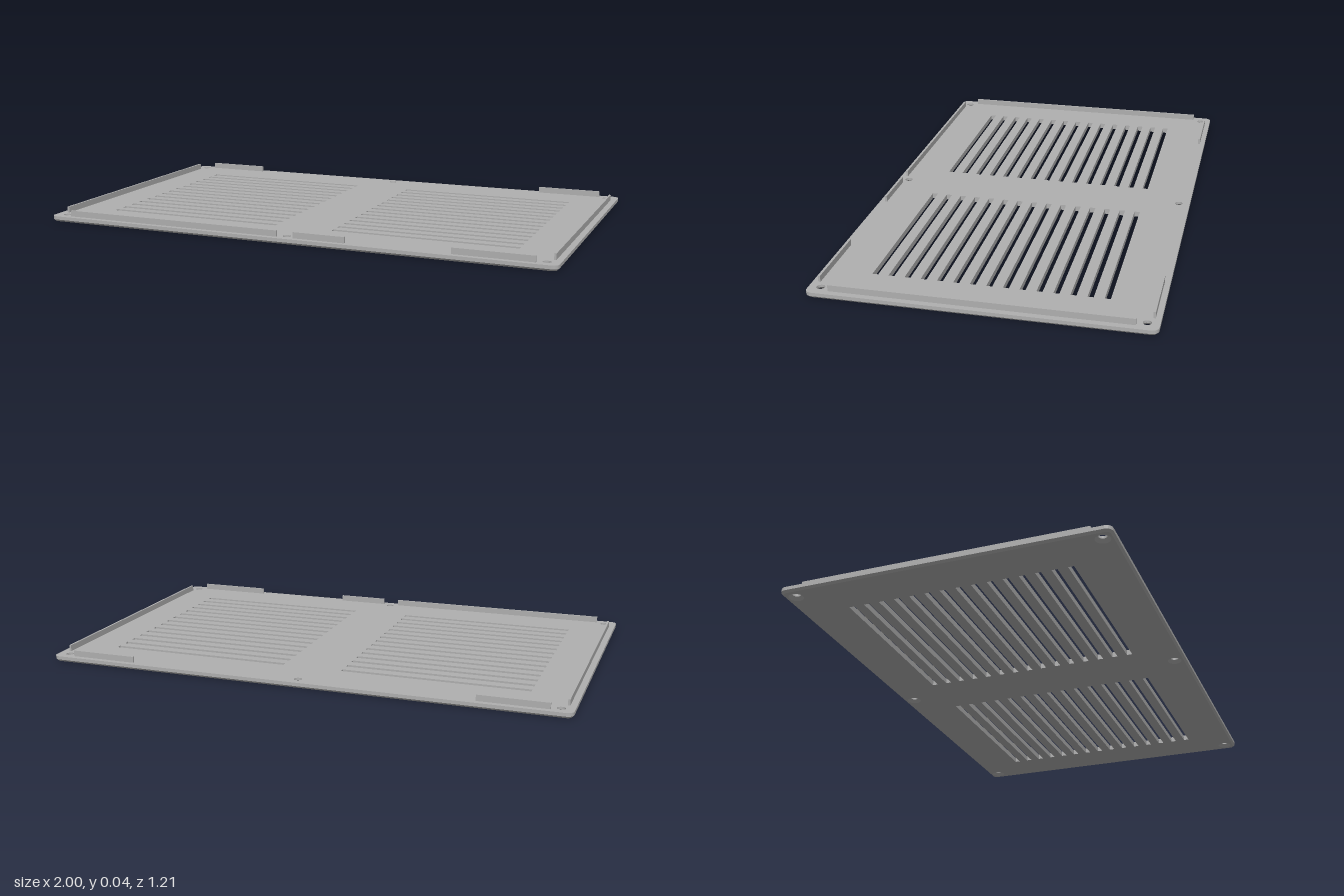
import * as THREE from 'three';

const W = 1, D = 0.605, TOP = 0.021, CHAMFER = 0.008, RIB_TOP = 0.044;
const UP = Math.PI / 2;

// Loop of points (x, z) around a rectangle, with optional rounded corners
function rectLoop(cx, cz, hw, hd, r = 0, seg = 6) {
  const pts = [];
  const signs = [[1, 1], [-1, 1], [-1, -1], [1, -1]];
  signs.forEach(([sx, sz], q) => {
    if (r === 0) { pts.push(new THREE.Vector2(cx + sx * hw, cz + sz * hd)); return; }
    for (let i = 0; i <= seg; i++) {
      const a = (q + i / seg) * UP;
      pts.push(new THREE.Vector2(
        cx + sx * (hw - r) + r * Math.cos(a), cz + sz * (hd - r) + r * Math.sin(a)));
    }
  });
  return pts;
}

function circleLoop(cx, cz, r, n = 24) {
  return Array.from({ length: n }, (_, i) => {
    const a = (i / n) * Math.PI * 2;
    return new THREE.Vector2(cx + r * Math.cos(a), cz + r * Math.sin(a));
  });
}

// Strip of faces between a lower and an upper loop; inward for holes
function wall(low, yLow, high, yHigh, inward = false) {
  const pos = [];
  for (let i = 0; i < low.length; i++) {
    const j = (i + 1) % low.length;
    const a0 = [low[i].x, yLow, low[i].y], b0 = [low[j].x, yLow, low[j].y];
    const a1 = [high[i].x, yHigh, high[i].y], b1 = [high[j].x, yHigh, high[j].y];
    if (inward) pos.push(...a0, ...b1, ...a1, ...a0, ...b0, ...b1);
    else pos.push(...a0, ...a1, ...b1, ...a0, ...b1, ...b0);
  }
  const g = new THREE.BufferGeometry();
  g.setAttribute('position', new THREE.Float32BufferAttribute(pos, 3));
  g.computeVertexNormals();
  return g;
}

// Flat face with holes, facing up or down
function face(outline, holes, y, up) {
  const s = new THREE.Shape(outline);
  holes.forEach(h => s.holes.push(new THREE.Path(h)));
  return new THREE.ShapeGeometry(s).rotateX(up ? -UP : UP).translate(0, y, 0);
}

export function createModel() {
  const model = new THREE.Group();
  model.name = 'ventCover';
  const grey = new THREE.MeshStandardMaterial({ color: 0xb0b0b0 });
  grey.name = 'grey';
  const add = (parent, name, geometry) => {
    const m = new THREE.Mesh(geometry, grey);
    m.name = name;
    parent.add(m);
    return m;
  };

  // Two banks of fifteen slots
  const slots = [];
  for (const side of [-1, 1])
    for (let i = 0; i < 15; i++)
      slots.push(rectLoop(side * 0.47, (i - 7) * 0.0588, 0.355, 0.0105));

  // Six screw holes, countersunk from below
  const screws = [];
  for (const x of [-0.953, 0, 0.953])
    for (const z of [-0.562, 0.562]) screws.push([x, z]);
  const bores = screws.map(([x, z]) => circleLoop(x, z, 0.015));
  const sinks = screws.map(([x, z]) => circleLoop(x, z, 0.027));

  // Plate with a chamfered lower edge
  const plate = new THREE.Group();
  plate.name = 'plate';
  model.add(plate);
  const outer = rectLoop(0, 0, W, D, 0.025);
  const lower = rectLoop(0, 0, W - CHAMFER, D - CHAMFER, 0.025 - CHAMFER);
  add(plate, 'plateTop', face(outer, [...slots, ...bores], TOP, true));
  add(plate, 'plateBottom', face(lower, [...slots, ...sinks], 0, false));
  add(plate, 'plateEdge', wall(outer, CHAMFER, outer, TOP));
  add(plate, 'plateChamfer', wall(lower, 0, outer, CHAMFER));
  slots.forEach(s => add(plate, 'slotWall', wall(s, 0, s, TOP, true)));
  bores.forEach((b, i) => {
    add(plate, 'screwBore', wall(b, 0.012, b, TOP, true));
    add(plate, 'countersink', wall(sinks[i], 0, b, 0.012, true));
  });

  // Upright locating ribs around the border
  const rib = (name, x0, x1, z0, z1) =>
    add(model, name, new THREE.BoxGeometry(x1 - x0, RIB_TOP - TOP, z1 - z0)
      .translate((x0 + x1) / 2, (RIB_TOP + TOP) / 2, (z0 + z1) / 2));
  for (const [x0, x1] of [[-0.92, -0.033], [0.033, 0.233], [0.627, 0.92]])
    rib('frontRib', x0, x1, 0.577, 0.585);
  for (const [x0, x1] of [[-0.92, -0.663], [0.663, 0.92]])
    rib('backRib', x0, x1, -0.585, -0.577);
  rib('leftRib', 0.969, 0.977, -0.528, 0.528);
  rib('rightRib', -0.977, -0.969, -0.528, 0.528);

  return model;
}
